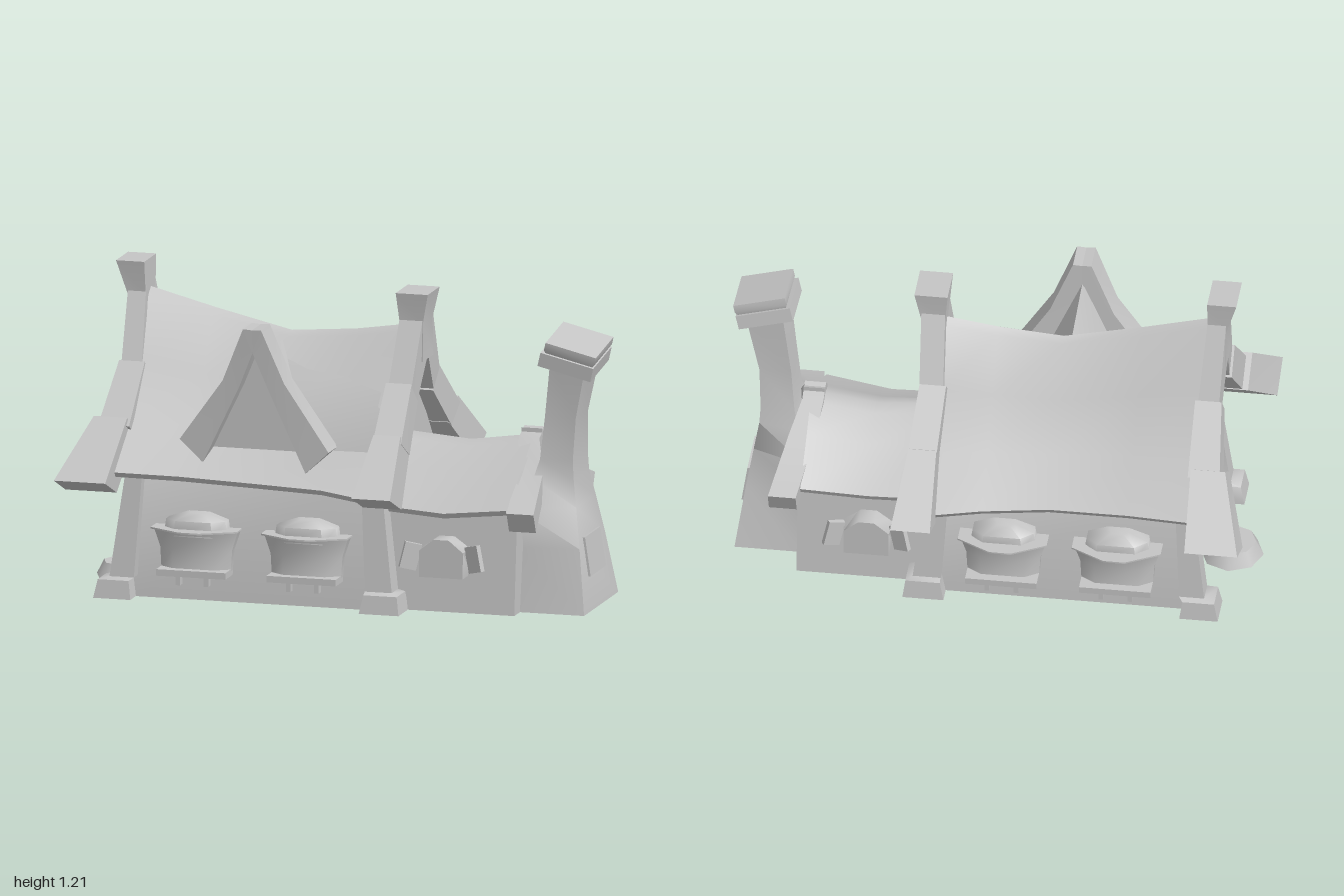
import * as THREE from 'three';
import { toCreasedNormals } from 'three/addons/utils/BufferGeometryUtils.js';

const stone = new THREE.MeshStandardMaterial({ color: 0xc4c4c4, side: THREE.DoubleSide });
stone.name = 'plain grey';

// Skin a row of equal-sized rings of [x, y, z] points
function loft(rings, { wrap = true, caps = true, crease = 0.9 } = {}) {
  const n = rings[0].length, pos = rings.flat(2), tri = [];
  for (let r = 0; r < rings.length - 1; r++) {
    for (let i = 0; i < (wrap ? n : n - 1); i++) {
      const a = r * n + i, b = r * n + (i + 1) % n;
      tri.push([a, b, b + n], [a, b + n, a + n]);
    }
  }
  const last = (rings.length - 1) * n;
  if (caps) for (let i = 1; i < n - 1; i++) tri.push([0, i + 1, i], [last, last + i, last + i + 1]);
  // turn the faces outward
  const v = (i) => new THREE.Vector3().fromArray(pos, i * 3);
  let volume = 0;
  for (const [a, b, c] of tri) volume += v(a).dot(v(b).cross(v(c)));
  if (volume < 0) tri.forEach((t) => t.reverse());
  const g = new THREE.BufferGeometry();
  g.setAttribute('position', new THREE.Float32BufferAttribute(pos, 3));
  g.setIndex(tri.flat());
  return toCreasedNormals(g, crease);
}

function add(parent, name, geometry, position = [0, 0, 0]) {
  const mesh = new THREE.Mesh(geometry, stone);
  mesh.name = name;
  mesh.position.set(...position);
  parent.add(mesh);
  return mesh;
}

function addGroup(parent, name) {
  const g = new THREE.Group();
  g.name = name;
  parent.add(g);
  return g;
}

// Level rectangle at height y; the +x edge may be narrower in z
const rect = (y, x0, x1, z0, z1, f0 = z0, f1 = z1) => [[x0, y, z0], [x1, y, f0], [x1, y, f1], [x0, y, z1]];

// Sagging roof shell; stations are [x, ridgeY, eaveY, frontZ, backZ], curve is [reach, drop]
function roof(stations, curve, thick) {
  return loft(stations.map(([x, ridge, eave, zf, zb]) => {
    const at = ([f, d], z) => [x, ridge + (eave - ridge) * d, f * z];
    const top = [...curve.slice(1).reverse().map((c) => at(c, zf)), ...curve.map((c) => at(c, -zb))];
    const under = top.map(([px, y, z]) => [px, y - thick, z * 0.97]).reverse();
    return [...top, ...under];
  }), { caps: false });
}

// Gabled walls, open underneath
function walls(x0, x1, base, eaveHalf, eaveY, ridgeY, z) {
  const ring = (x) => [[x, 0, z + base], [x, eaveY, z + eaveHalf], [x, ridgeY, z], [x, eaveY, z - eaveHalf], [x, 0, z - base]];
  return loft([ring(x0), ring(x1)], { wrap: false });
}

// Barge timber; ends are [outerZ, outerY, innerZ, innerY, x0, x1]
function timber(ends, side) {
  return loft(ends.map(([oz, oy, iz, iy, x0, x1]) => [
    [x0, oy, oz * side], [x1, oy, oz * side], [x1, iy, iz * side], [x0, iy, iz * side]]));
}

// Bulging window with hood, tray, sill and pegs
function bayWindow(parent, x, z, back) {
  const g = addGroup(parent, 'bayWindow');
  g.position.set(x, 0, z);
  if (back) g.rotation.y = Math.PI;
  const half = (y, w, d) => [[-w, y, -0.04], [-w, y, d * 0.45], [-w * 0.6, y, d], [w * 0.6, y, d], [w, y, d * 0.45], [w, y, -0.04]];
  add(g, 'windowBody', loft([half(0.12, 0.135, 0.065), half(0.2, 0.14, 0.06), half(0.278, 0.165, 0.075)]));
  const tray = (y) => [[-0.168, y, -0.03], [-0.168, y, 0.06], [-0.04, y, 0.13], [0.04, y, 0.13], [0.168, y, 0.06], [0.168, y, -0.03]];
  add(g, 'windowTray', loft([tray(0.273), tray(0.279)]));
  add(g, 'windowHood', loft([half(0.25, 0.125, 0.07), half(0.31, 0.115, 0.075), half(0.335, 0.04, 0.03)], { crease: 1.3 }));
  add(g, 'windowSill', new THREE.BoxGeometry(0.27, 0.025, 0.13), [0, 0.115, 0.035]);
  for (const s of [-1, 1]) add(g, 'sillPeg', new THREE.BoxGeometry(0.018, 0.045, 0.03), [s * 0.055, 0.09, 0.07]);
}

// Small pointed window with askew shutters
function cottageWindow(parent, x, z, back) {
  const g = addGroup(parent, 'cottageWindow');
  g.position.set(x, 0, z);
  if (back) g.rotation.y = Math.PI;
  const ring = (d, s) => [[-0.085, 0.14], [0.085, 0.14], [0.095 * s, 0.24], [0.03, 0.285], [-0.03, 0.285], [-0.095 * s, 0.24]].map(([px, y]) => [px, y, d]);
  add(g, 'windowFrame', loft([ring(-0.04, 1), ring(0.07, 0.9)]));
  for (const s of [-1, 1]) {
    const shutter = add(g, 'shutter', new THREE.BoxGeometry(0.065, 0.1, 0.02), [s * 0.125, 0.215, 0.05]);
    shutter.rotation.set(0, -s * 0.5, s * 0.25);
  }
}

export function createModel() {
  const model = new THREE.Group();
  model.name = 'cottage';

  // Main house
  const house = addGroup(model, 'mainHouse');
  add(house, 'mainWalls', walls(-0.75, 0.21, 0.375, 0.335, 0.53, 0.93, 0.03));
  add(house, 'mainRoof', roof([
    [-0.8, 1.1, 0.495, 0.53, 0.48], [-0.55, 1.035, 0.485, 0.49, 0.45], [-0.25, 0.965, 0.47, 0.47, 0.43],
    [0, 0.985, 0.46, 0.47, 0.46], [0.2, 1.015, 0.435, 0.49, 0.48],
  ], [[0, 0], [0.06, 0.04], [0.32, 0.4], [0.62, 0.72], [1, 1]], 0.02));

  // Barge timbers and finials on both gables
  const gables = [
    { x: [[-0.87, -0.8], [-0.86, -0.78], [-0.87, -0.77], [-0.89, -0.77], [-0.91, -0.78], [-0.99, -0.79]], sink: 0, finial: [-0.87, -0.8, -0.91, -0.8] },
    { x: [[0.19, 0.28], [0.18, 0.27], [0.17, 0.27], [0.18, 0.29], [0.18, 0.285], [0.17, 0.32]], sink: 0.1, finial: [0.19, 0.28, 0.18, 0.305] },
  ];
  const path = [[0.06, 1.12, 0, 0.94], [0.195, 0.82, 0.11, 0.76], [0.185, 0.85, 0.1, 0.76],
    [0.395, 0.645, 0.28, 0.575], [0.385, 0.675, 0.26, 0.59], [0.645, 0.475, 0.49, 0.41]];
  for (const { x, sink, finial: [a, b, c, d] } of gables) {
    const low = (y) => y - sink * Math.max(0, y - 0.6);
    const ends = path.map(([oz, oy, iz, iy], i) => [oz, low(oy), iz, low(iy), ...x[i]]);
    for (const side of [-1, 1]) {
      for (let i = 0; i < 6; i += 2) add(house, 'bargeTimber', timber(ends.slice(i, i + 2), side));
    }
    add(house, 'finial', loft([rect(low(0.92), a, b, -0.07, 0.07), rect(low(1.08), a, b, -0.06, 0.07), rect(low(1.21), c, d, -0.07, 0.09)]));
  }

  // Leaning corner posts flaring into hollow feet
  for (const s of [-1, 1]) {
    const zz = (i, o) => (s > 0 ? [0.035 + i, 0.035 + o] : [0.035 - o, 0.035 - i]);
    for (const [foot, base, top] of [
      [[-0.885, -0.74], [-0.83, -0.735], [-0.78, -0.715]],
      [[0.15, 0.305], [0.165, 0.27], [0.14, 0.22]],
    ]) {
      add(house, 'cornerPost', loft([
        rect(0, ...foot, ...zz(0.31, 0.445)), rect(0.07, foot[0] + 0.015, foot[1] - 0.01, ...zz(0.32, 0.435)),
        rect(0.08, ...base, ...zz(0.33, 0.415)), rect(0.47, ...top, ...zz(0.3, 0.375))], { caps: false }));
    }
    for (const x of [-0.5, -0.07]) bayWindow(house, x, s > 0 ? 0.395 : -0.335, s < 0);
  }

  // Dormer
  const dormer = addGroup(model, 'dormer');
  const tent = (z, y, w, foot) => [[-0.275 - w, foot, z], [-0.275, y, z], [-0.275 + w, foot, z]];
  add(dormer, 'dormerRoof', loft([tent(0.02, 0.93, 0.1, 0.8), tent(0.36, 0.975, 0.18, 0.58)]));
  for (const s of [-1, 1]) {
    const drop = s > 0 ? 0.02 : 0;
    const ring = (ox, oy, ix, iy, z0, z1) => [[ox, oy, z0], [ox, oy, z1], [ix, iy, z1], [ix, iy, z0]]
      .map(([x, y, z]) => [-0.275 + s * x, y, z]);
    add(dormer, 'dormerTimber', loft([
      ring(0.035, 1.055, -0.035, 1.05, 0.33, 0.45), ring(0.12, 0.85, 0.055, 0.83, 0.32, 0.43),
      ring(0.29, 0.615 - drop, 0.2, 0.53 - drop, 0.3, 0.42)]));
  }

  // Side wing
  const wing = addGroup(model, 'sideWing');
  add(wing, 'wingWalls', walls(0.2, 0.72, 0.325, 0.285, 0.4, 0.57, 0.03));
  add(wing, 'wingRoof', roof([
    [0.2, 0.61, 0.395, 0.37, 0.32], [0.45, 0.59, 0.38, 0.38, 0.31], [0.7, 0.625, 0.41, 0.4, 0.34],
  ], [[0, 0], [0.15, 0.08], [0.45, 0.45], [1, 1]], 0.02));
  for (const s of [-1, 1]) {
    const out = s > 0 ? 0.03 : 0;
    add(wing, 'wingBarge', timber([
      [-0.02, 0.65, -0.02, 0.55, 0.65, 0.73], [0.055, 0.62, 0.03, 0.53, 0.65, 0.73],
      [0.14, 0.51, 0.11, 0.45, 0.67, 0.77], [0.395 + out, 0.405, 0.36 + out, 0.33, 0.71, 0.815]], s));
    cottageWindow(wing, 0.45, s > 0 ? 0.34 : -0.28, s < 0);
  }

  // Chimney breast and stack with a crooked cap
  const chimney = addGroup(model, 'chimney');
  add(chimney, 'chimneyStack', loft([
    rect(0, 0.72, 0.97, -0.175, 0.28), rect(0.24, 0.7, 0.935, -0.14, 0.24, -0.12, 0.22),
    rect(0.39, 0.7, 0.91, -0.165, 0.26, -0.08, 0.18), rect(0.49, 0.74, 0.893, -0.08, 0.17, -0.05, 0.155),
    rect(0.56, 0.76, 0.888, -0.05, 0.15), rect(0.72, 0.775, 0.895, -0.03, 0.135), rect(0.95, 0.805, 0.945, -0.03, 0.165),
  ], { crease: 1.2, caps: false }));
  const hatch = add(chimney, 'hatch', new THREE.BoxGeometry(0.009, 0.15, 0.205), [0.945, 0.2, 0.057]);
  hatch.rotation.z = 0.15;
  const cap = addGroup(chimney, 'chimneyCap');
  cap.position.set(0.885, 0.965, 0.085);
  cap.rotation.set(0.14, 0, -0.25);
  add(cap, 'capLower', new THREE.BoxGeometry(0.21, 0.055, 0.25), [-0.005, -0.02, 0]);
  add(cap, 'capUpper', loft([rect(0, -0.09, 0.09, -0.11, 0.11), rect(0.02, -0.1, 0.1, -0.12, 0.12), rect(0.05, -0.1, 0.1, -0.12, 0.12)]));

  // Flat boulder beside the gable
  const rock = add(model, 'boulder', new THREE.CylinderGeometry(0.095, 0.125, 0.055, 8), [-0.88, 0.0275, 0.04]);
  rock.scale.x = 0.95;

  return model;
}
